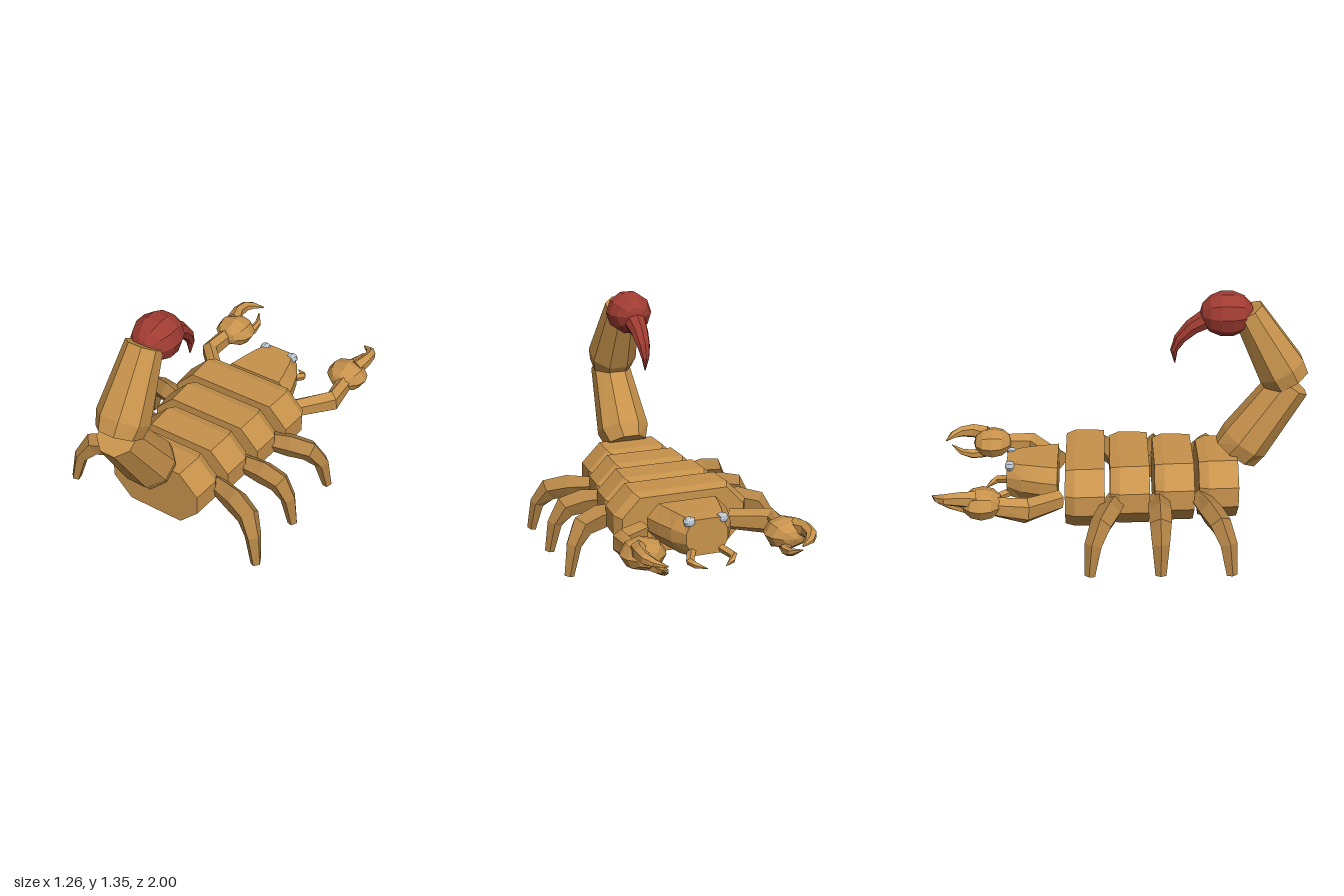
import * as THREE from 'three';

const mat = (name, color) => {
  const m = new THREE.MeshStandardMaterial({ color, flatShading: true });
  m.name = name;
  return m;
};

// Skin over equal-sized rings, each counter-clockwise about the travel direction
function skin(rings) {
  const pos = [];
  const tri = (...pts) => pts.forEach((p) => pos.push(p.x, p.y, p.z));
  const n = rings[0].length;
  const cap = (ring, flip) => {
    for (let i = 1; i < n - 1; i++) {
      if (flip) tri(ring[0], ring[i + 1], ring[i]);
      else tri(ring[0], ring[i], ring[i + 1]);
    }
  };
  for (let k = 0; k < rings.length - 1; k++) {
    for (let i = 0; i < n; i++) {
      const j = (i + 1) % n, a = rings[k], b = rings[k + 1];
      tri(a[i], a[j], b[j]);
      tri(a[i], b[j], b[i]);
    }
  }
  cap(rings[0], true);
  cap(rings[rings.length - 1], false);
  const g = new THREE.BufferGeometry();
  g.setAttribute('position', new THREE.Float32BufferAttribute(pos, 3));
  g.computeVertexNormals();
  return g;
}

// Faceted limb through stations [x, y, z, radius along ref, radius across]
function limb(stations, ref, sides, turn = 0) {
  const pts = stations.map((s) => new THREE.Vector3(s[0], s[1], s[2]));
  return skin(pts.map((p, k) => {
    const before = pts[Math.max(k - 1, 0)], after = pts[Math.min(k + 1, pts.length - 1)];
    const t = after.clone().sub(before).normalize();
    const u = ref.clone().addScaledVector(t, -ref.dot(t)).normalize();
    const v = t.clone().cross(u);
    return Array.from({ length: sides }, (_, i) => {
      const a = turn + (i / sides) * Math.PI * 2;
      return p.clone()
        .addScaledVector(u, Math.cos(a) * stations[k][3])
        .addScaledVector(v, Math.sin(a) * stations[k][4]);
    });
  }));
}

// Box section with cut corners, half width w, cut c
function octagon(z, w, y0, y1, cx, cy) {
  return [
    [w, y0 + cy], [w, y1 - cy], [w - cx, y1], [cx - w, y1],
    [-w, y1 - cy], [-w, y0 + cy], [cx - w, y0], [w - cx, y0],
  ].map(([x, y]) => new THREE.Vector3(x, y, z));
}

// Low-poly ellipsoid with its poles along z
function ball(rx, ry, rz, around, along) {
  return new THREE.SphereGeometry(1, around, along).rotateX(Math.PI / 2).scale(rx, ry, rz).toNonIndexed();
}

export function createModel() {
  const model = new THREE.Group();
  model.name = 'scorpion';
  const shell = mat('tan shell', 0xc8934c);
  const legTone = mat('brown legs', 0xb28345);
  const red = mat('dark red sting', 0xa03c32);
  const eyeTone = mat('pale grey eyes', 0xbcc6d0);
  const X = new THREE.Vector3(1, 0, 0), Y = new THREE.Vector3(0, 1, 0);

  const add = (name, geo, material, x = 0, y = 0, z = 0) => {
    geo.computeVertexNormals();
    const mesh = new THREE.Mesh(geo, material);
    mesh.name = name;
    mesh.position.set(x, y, z);
    model.add(mesh);
    return mesh;
  };

  // Four body plates, widening towards the head and pinched at their front rim
  for (let i = 0; i < 4; i++) {
    const z = 0.63 - i * 0.24, w = 0.28 + i * 0.032;
    add('bodySegment' + (i + 1), skin([
      octagon(z - 0.212, w - 0.03, 0.13, 0.445, 0.1, 0.105),
      octagon(z - 0.16, w, 0.125, 0.46, 0.11, 0.112),
      octagon(z, w - 0.008, 0.125, 0.46, 0.11, 0.112),
    ]), shell);
  }

  // Head, narrowing forward
  add('head', skin([
    octagon(-0.625, 0.115, 0.22, 0.415, 0.035, 0.07),
    octagon(-0.54, 0.165, 0.21, 0.42, 0.05, 0.07),
    octagon(-0.44, 0.2, 0.21, 0.42, 0.06, 0.07),
    octagon(-0.345, 0.225, 0.21, 0.42, 0.065, 0.07),
  ]), shell);

  // Two tail links
  const turn = Math.PI / 8;
  add('lowerTail', limb([
    [0, 0.44, 0.628, 0.12, 0.135],
    [0, 0.51, 0.677, 0.152, 0.142],
    [0, 0.85, 0.914, 0.112, 0.114],
  ], X, 8, turn), shell);
  add('upperTail', limb([
    [0, 0.86, 0.897, 0.122, 0.128],
    [0, 0.93, 0.858, 0.142, 0.138],
    [0, 1.255, 0.668, 0.1, 0.09],
  ], X, 8, turn), shell);

  // Sting bulb and its hooked spike
  add('stingBulb', ball(0.128, 0.122, 0.145, 10, 7), red, 0, 1.24, 0.56);
  add('stingSpike', limb([
    [0, 1.21, 0.45, 0.062, 0.055],
    [0, 1.165, 0.375, 0.05, 0.045],
    [0, 1.1, 0.313, 0.038, 0.033],
    [0, 1.035, 0.283, 0.022, 0.02],
    [0, 0.965, 0.289, 0.003, 0.003],
  ], X, 8), red);

  for (const s of [1, -1]) {
    const side = s > 0 ? 'left' : 'right';
    const sided = (list) => list.map(([x, ...rest]) => [s * x, ...rest]);

    // Three arched legs, fanned forward and back
    ['front', 'middle', 'back'].forEach((row, i) => {
      const f = i - 1;
      add(side + row + 'Leg', limb(sided([
        [0.24, 0.28, 0.2 + f * 0.22, 0.045, 0.055],
        [0.41, 0.275, 0.2 + f * 0.27, 0.07, 0.065],
        [0.51, 0.255, 0.2 + f * 0.31, 0.066, 0.06],
        [0.57, 0.17, 0.2 + f * 0.35, 0.042, 0.048],
        [0.603, 0.008, 0.2 + f * 0.37, 0.027, 0.03],
      ]), new THREE.Vector3(s * 0.5, 1, 0), 5), legTone);
    });

    // Eye and mandible
    add(side + 'Eye', ball(0.035, 0.03, 0.027, 8, 6), eyeTone, s * 0.09, 0.402, -0.605);
    add(side + 'Mandible', limb(sided([
      [0.075, 0.245, -0.6, 0.025, 0.025],
      [0.12, 0.222, -0.69, 0.022, 0.022],
      [0.1, 0.212, -0.72, 0.017, 0.017],
      [0.05, 0.2, -0.755, 0.002, 0.002],
    ]), Y, 5), shell);

    // Bent claw arm
    add(side + 'Arm', limb(sided([
      [0.255, 0.275, -0.34, 0.058, 0.046],
      [0.425, 0.3, -0.505, 0.072, 0.046],
      [0.41, 0.315, -0.66, 0.056, 0.046],
    ]), Y, 6), shell);

    // Claw palm with a heavy outer finger and a slim inner finger
    add(side + 'Palm', ball(0.12, 0.083, 0.11, 8, 6), shell, s * 0.39, 0.328, -0.735);
    add(side + 'OuterFinger', limb(sided([
      [0.425, 0.365, -0.77, 0.05, 0.045],
      [0.445, 0.378, -0.85, 0.042, 0.033],
      [0.44, 0.375, -0.92, 0.032, 0.03],
      [0.41, 0.367, -0.965, 0.02, 0.024],
      [0.355, 0.355, -0.998, 0.004, 0.004],
    ]), Y, 6), shell);
    add(side + 'InnerFinger', limb(sided([
      [0.365, 0.28, -0.78, 0.035, 0.035],
      [0.34, 0.277, -0.85, 0.027, 0.026],
      [0.34, 0.292, -0.91, 0.02, 0.02],
      [0.37, 0.322, -0.97, 0.003, 0.003],
    ]), Y, 6), shell);
  }
  return model;
}
